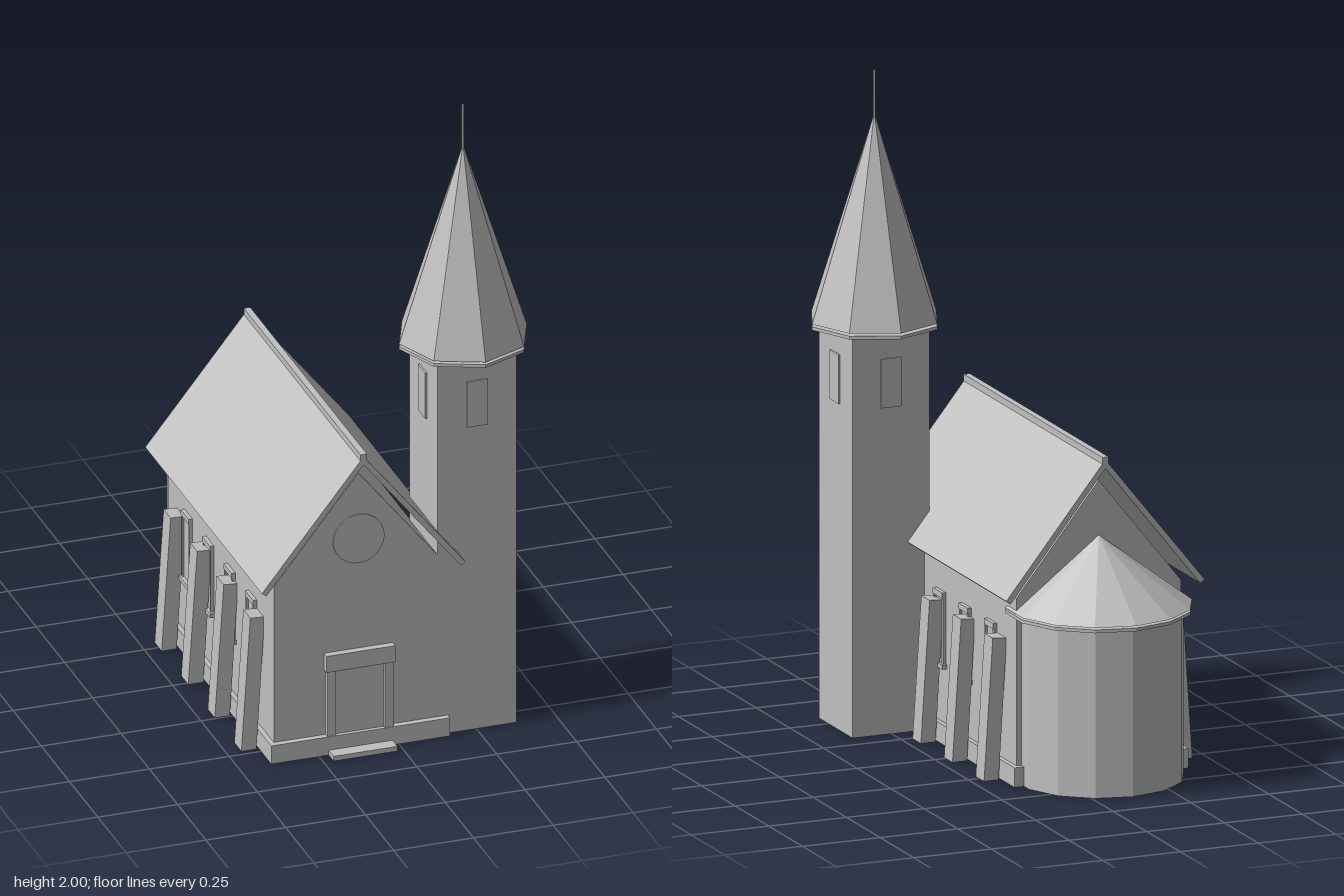
import * as THREE from 'three';

const stone = new THREE.MeshStandardMaterial({ color: 0xc0c0c0 });
stone.name = 'stone grey';
stone.flatShading = true;

const AXIS = -0.12;              // x of the nave centreline
const BACK = -0.365, FRONT = 0.57; // nave end walls

function add(parent, name, geometry, x = 0, y = 0, z = 0) {
  const mesh = new THREE.Mesh(geometry, stone);
  mesh.name = name;
  mesh.position.set(x, y, z);
  parent.add(mesh);
  return mesh;
}

// box given by its extents
function box(parent, name, x0, x1, y0, y1, z0, z1) {
  return add(parent, name, new THREE.BoxGeometry(x1 - x0, y1 - y0, z1 - z0),
    (x0 + x1) / 2, (y0 + y1) / 2, (z0 + z1) / 2);
}

// outline in x/y, extruded from z0 to z1
function prism(parent, name, points, z0, z1) {
  const shape = new THREE.Shape(points.map(([x, y]) => new THREE.Vector2(x, y)));
  const geometry = new THREE.ExtrudeGeometry(shape, { depth: z1 - z0, bevelEnabled: false });
  return add(parent, name, geometry, 0, 0, z0);
}

function buildNave() {
  const nave = new THREE.Group();
  nave.name = 'nave';
  box(nave, 'naveWalls', AXIS - 0.265, AXIS + 0.265, 0, 0.572, BACK, FRONT);
  box(nave, 'plinth', AXIS - 0.28, AXIS + 0.28, 0, 0.06, BACK - 0.02, FRONT + 0.02);
  prism(nave, 'gable', [[AXIS - 0.265, 0.572], [AXIS + 0.265, 0.572], [AXIS, 0.905]], BACK, FRONT);

  // roof slabs and ridge
  for (const s of [-1, 1]) {
    prism(nave, 'roofSlab', [[AXIS, 0.953], [AXIS + s * 0.305, 0.57],
      [AXIS + s * 0.319, 0.581], [AXIS, 0.98]], -0.415, 0.617);
  }
  box(nave, 'ridge', AXIS - 0.01, AXIS + 0.01, 0.967, 0.988, -0.415, 0.617);

  // leaning buttresses and side windows
  for (const s of [-1, 1]) {
    const wall = AXIS + s * 0.265;
    const out = (d) => [Math.min(wall, wall + s * d), Math.max(wall, wall + s * d)];
    for (const z of [0.45, 0.215, -0.02, -0.255]) {
      if (s > 0 && z > 0.4) continue; // the tower stands here
      prism(nave, 'buttress', [[AXIS + s * 0.288, 0], [AXIS + s * 0.335, 0],
        [AXIS + s * 0.307, 0.435], [AXIS + s * 0.262, 0.432]], z - 0.031, z + 0.031);
    }
    for (const z of [0.385, 0.195, 0.005, -0.185]) {
      if (s > 0 && z > 0.3) continue;
      const win = new THREE.Group();
      win.name = 'sideWindow';
      nave.add(win);
      box(win, 'windowPane', ...out(0.004), 0.24, 0.445, z - 0.026, z + 0.026);
      box(win, 'windowLintel', ...out(0.012), 0.443, 0.46, z - 0.035, z + 0.035);
      box(win, 'windowSill', ...out(0.016), 0.228, 0.242, z - 0.044, z + 0.044);
      for (const t of [-1, 1]) {
        const c = z + t * 0.031;
        box(win, 'windowJamb', ...out(0.01), 0.242, 0.443, c - 0.004, c + 0.004);
      }
    }
  }

  // round gable window
  const rose = add(nave, 'roundWindow', new THREE.CylinderGeometry(0.08, 0.08, 0.006, 32), AXIS, 0.69, FRONT + 0.002);
  rose.rotation.x = Math.PI / 2;
  return nave;
}

function buildPortal() {
  const portal = new THREE.Group();
  portal.name = 'portal';
  box(portal, 'door', AXIS - 0.078, AXIS + 0.078, 0.06, 0.272, FRONT, FRONT + 0.007);
  for (const s of [-1, 1]) {
    const x = AXIS + s * 0.09;
    box(portal, 'doorPost', x - 0.013, x + 0.013, 0.06, 0.274, FRONT, FRONT + 0.018);
  }
  box(portal, 'doorLintel', AXIS - 0.108, AXIS + 0.108, 0.274, 0.328, FRONT, FRONT + 0.023);
  box(portal, 'step', AXIS - 0.1, AXIS + 0.1, 0, 0.016, FRONT, 0.633);
  return portal;
}

function buildApse() {
  const apse = new THREE.Group();
  apse.name = 'apse';
  apse.position.set(AXIS, 0, BACK);
  add(apse, 'apseWall', new THREE.CylinderGeometry(0.255, 0.255, 0.515, 14), 0, 0.2575, 0);
  add(apse, 'apseCornice', new THREE.CylinderGeometry(0.28, 0.28, 0.01, 14), 0, 0.517, 0);
  add(apse, 'apseRoof', new THREE.ConeGeometry(0.28, 0.21, 14), 0, 0.633, 0);
  return apse;
}

function buildTower() {
  const tower = new THREE.Group();
  tower.name = 'tower';
  tower.position.set(0.252, 0, 0.445);
  box(tower, 'towerShaft', -0.124, 0.124, 0, 1.228, -0.125, 0.125);
  // one belfry opening on each face
  for (let i = 0; i < 4; i++) {
    const side = new THREE.Group();
    side.name = 'belfryOpening';
    side.rotation.y = i * Math.PI / 2;
    box(side, 'belfryPanel', -0.033, 0.033, 1.0, 1.15, 0.122, 0.13);
    tower.add(side);
  }
  add(tower, 'spireCornice', new THREE.CylinderGeometry(0.2, 0.2, 0.01, 8), 0, 1.23, 0);
  add(tower, 'spire', new THREE.ConeGeometry(0.2, 0.627, 8), 0, 1.5565, 0);
  add(tower, 'finial', new THREE.CylinderGeometry(0.004, 0.004, 0.15, 6), 0, 1.925, 0);
  return tower;
}

export function createModel() {
  const church = new THREE.Group();
  church.name = 'church';
  church.add(buildNave(), buildPortal(), buildApse(), buildTower());
  return church;
}
